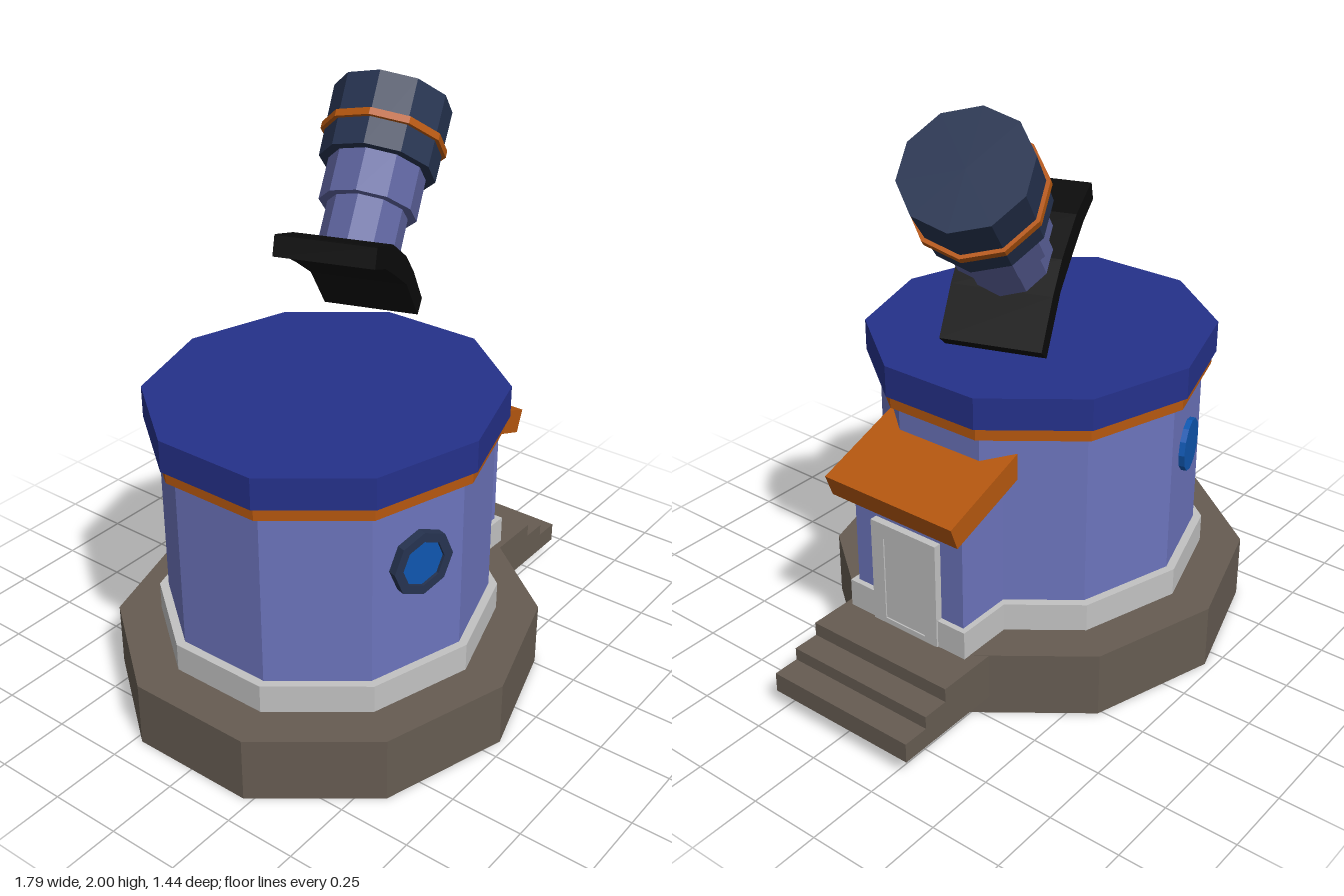
import * as THREE from 'three';

const mat = (name, color) => {
  const m = new THREE.MeshStandardMaterial({ color, flatShading: true });
  m.name = name;
  return m;
};

export function createModel() {
  const stone = mat('brown stone', 0x665c52);
  const wall = mat('periwinkle wall', 0x6c74bc);
  const roofBlue = mat('deep blue roof', 0x25318a);
  const orange = mat('orange trim', 0xb5570f);
  const pale = mat('pale grey', 0xc2c2c2);
  const black = mat('black mount', 0x0b0b0b);
  const navy = mat('dark navy', 0x263350);
  const violet = mat('violet barrel', 0x5c629c);
  const glass = mat('blue glass', 0x0f57b0);

  const model = new THREE.Group();
  model.name = 'observatory';

  const add = (parent, name, geometry, material) => {
    const mesh = new THREE.Mesh(geometry, material);
    mesh.name = name;
    parent.add(mesh);
    return mesh;
  };
  const box = (parent, name, material, x0, x1, y0, y1, z0, z1) => {
    const g = new THREE.BoxGeometry(x1 - x0, y1 - y0, z1 - z0);
    g.translate((x0 + x1) / 2, (y0 + y1) / 2, (z0 + z1) / 2);
    return add(parent, name, g, material);
  };
  const shapeOf = (pts) => new THREE.Shape(pts.map((p) => new THREE.Vector2(...p)));
  // Side outline in x, y swept across z
  const slab = (parent, name, material, pts, z0, z1) => {
    const g = new THREE.ExtrudeGeometry(shapeOf(pts), { depth: z1 - z0, bevelEnabled: false });
    g.translate(0, 0, z0);
    return add(parent, name, g, material);
  };

  // Ten-sided tower, slightly wider along x
  const tower = new THREE.Group();
  tower.name = 'tower';
  tower.position.x = -0.18;
  tower.scale.x = 1.05;
  model.add(tower);
  const tier = (name, material, r, y0, y1) => {
    const g = new THREE.CylinderGeometry(r, r, y1 - y0, 10);
    g.translate(0, (y0 + y1) / 2, 0);
    add(tower, name, g, material);
  };
  tier('base', stone, 0.72, 0, 0.23);
  tier('plinth', pale, 0.575, 0.22, 0.33);
  tier('towerWall', wall, 0.545, 0.32, 0.96);
  tier('roofTrim', orange, 0.575, 0.945, 0.995);
  tier('roof', roofBlue, 0.59, 0.99, 1.1);

  // Entrance porch
  const porch = new THREE.Group();
  porch.name = 'porch';
  model.add(porch);
  slab(porch, 'porchWall', wall,
    [[0.2, 0.3], [0.525, 0.3], [0.525, 0.71], [0.2, 0.83]], -0.228, 0.228);
  box(porch, 'porchPlinth', pale, 0.2, 0.545, 0.22, 0.33, -0.248, 0.248);
  slab(porch, 'porchRoof', orange,
    [[0.15, 0.84], [0.59, 0.68], [0.62, 0.76], [0.15, 0.935]], -0.265, 0.265);

  // Door frame with an inset panel
  const frame = shapeOf([[-0.137, 0.23], [0.137, 0.23], [0.137, 0.615], [-0.137, 0.615]]);
  frame.holes.push(new THREE.Path(
    [[-0.085, 0.25], [-0.085, 0.56], [0.085, 0.56], [0.085, 0.25]].map((p) => new THREE.Vector2(...p))));
  const frameGeo = new THREE.ExtrudeGeometry(frame, { depth: 0.035, bevelEnabled: false });
  frameGeo.rotateY(Math.PI / 2);
  frameGeo.translate(0.517, 0, 0);
  add(porch, 'doorFrame', frameGeo, pale);
  box(porch, 'doorPanel', pale, 0.5, 0.547, 0.24, 0.57, -0.09, 0.09);

  // Steps, one solid stair outline
  slab(model, 'steps', stone, [[0.3, 0.065], [0.89, 0.065], [0.89, 0.135], [0.795, 0.135],
    [0.795, 0.18], [0.7, 0.18], [0.7, 0.229], [0.3, 0.229]], -0.298, 0.272);

  // Round windows on the front and back facets
  const addWindow = (name, side) => {
    const g = new THREE.Group();
    g.name = name;
    g.position.set(-0.348, 0.72, 0.493 * side);
    g.rotation.y = Math.atan2(-0.298, 0.954 * side);
    model.add(g);
    return g;
  };
  const pane = (parent, r, sides, front) => {
    const g = new THREE.CylinderGeometry(r, r, front + 0.02, sides);
    g.rotateX(Math.PI / 2);
    g.translate(0, 0, (front - 0.02) / 2);
    add(parent, 'windowGlass', g, glass);
  };
  const octagon = (r) => Array.from({ length: 8 }, (_, i) =>
    new THREE.Vector2(r * Math.cos(i * Math.PI / 4), r * Math.sin(i * Math.PI / 4)));
  const frontWindow = addWindow('frontWindow', 1);
  const ring = new THREE.Shape(octagon(0.113));
  ring.holes.push(new THREE.Path(octagon(0.08).reverse()));
  const ringGeo = new THREE.ExtrudeGeometry(ring, { depth: 0.04, bevelEnabled: false });
  ringGeo.translate(0, 0, -0.01);
  add(frontWindow, 'windowRing', ringGeo, navy);
  pane(frontWindow, 0.085, 8, 0.02);
  pane(addWindow('backWindow', -1), 0.092, 12, 0.02);

  // Telescope, turned towards the back
  const telescope = new THREE.Group();
  telescope.name = 'telescope';
  telescope.position.z = -0.055;
  telescope.rotation.y = THREE.MathUtils.degToRad(19);
  model.add(telescope);

  // Curved mount
  slab(telescope, 'mount', black, [[-0.222, 1.545], [-0.116, 1.505], [-0.02, 1.447], [0.12, 1.355],
    [0.255, 1.188], [0.26, 1.188], [0.307, 1.227], [0.2, 1.37], [0.11, 1.46], [-0.037, 1.557],
    [-0.19, 1.608], [-0.2, 1.608]], -0.168, 0.168);

  // Barrel sections, measured back from the front end along local -y
  const barrel = new THREE.Group();
  barrel.name = 'barrel';
  barrel.position.set(0.497, 1.86, 0);
  barrel.rotation.z = THREE.MathUtils.degToRad(47 - 90);
  telescope.add(barrel);
  const section = (name, material, rFront, rBack, t0, t1) => {
    const g = new THREE.CylinderGeometry(rFront, rBack, t1 - t0, 10);
    g.rotateY(Math.PI / 10);
    g.translate(0, -(t0 + t1) / 2, 0);
    add(barrel, name, g, material);
  };
  section('barrelHead', navy, 0.205, 0.2, 0, 0.26);
  section('barrelBand', orange, 0.216, 0.216, 0.14, 0.165);
  section('barrelMiddle', violet, 0.167, 0.167, 0.25, 0.41);
  section('barrelRear', violet, 0.137, 0.137, 0.4, 0.61);

  return model;
}
